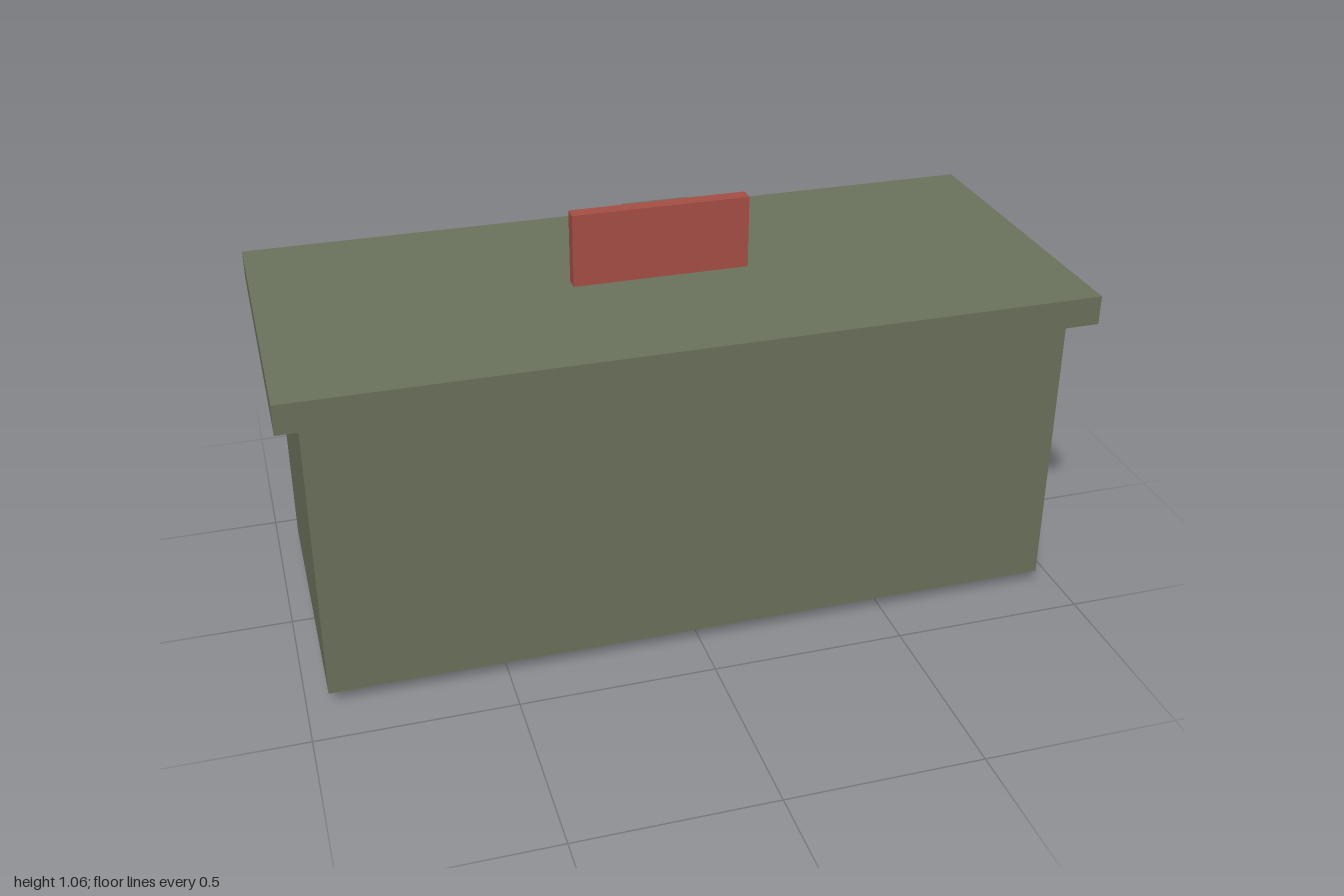
import * as THREE from 'three';

export function createModel() {
  const model = new THREE.Group();
  const wall = new THREE.MeshStandardMaterial({ color: 0x6b725c });
  wall.name = 'olive';
  const red = new THREE.MeshStandardMaterial({ color: 0xa64e45 });
  red.name = 'brick red';
  const glass = new THREE.MeshStandardMaterial({ color: 0x5f6a78 });
  glass.name = 'slate blue';

  // Box centred on x, given its width and its y and z ranges
  function slab(name, material, width, [y0, y1], [z0, z1]) {
    const mesh = new THREE.Mesh(new THREE.BoxGeometry(width, y1 - y0, z1 - z0), material);
    mesh.position.set(0, (y0 + y1) / 2, (z0 + z1) / 2);
    mesh.name = name;
    model.add(mesh);
  }

  // Building and overhanging roof
  slab('body', wall, 1.89, [0.038, 0.795], [-0.378, 0.378]);
  slab('roof', wall, 2, [0.795, 0.87], [-0.434, 0.434]);

  // Door and long window on the back wall
  slab('door', wall, 0.264, [0, 0.265], [-0.396, -0.377]);
  slab('window', glass, 1.323, [0.378, 0.605], [-0.396, -0.377]);

  // Rooftop sign with a small panel floating behind it
  slab('sign', red, 0.454, [0.87, 1.058], [-0.019, 0.019]);
  slab('signPanel', wall, 0.17, [0.879, 1.049], [-0.047, -0.028]);

  return model;
}
